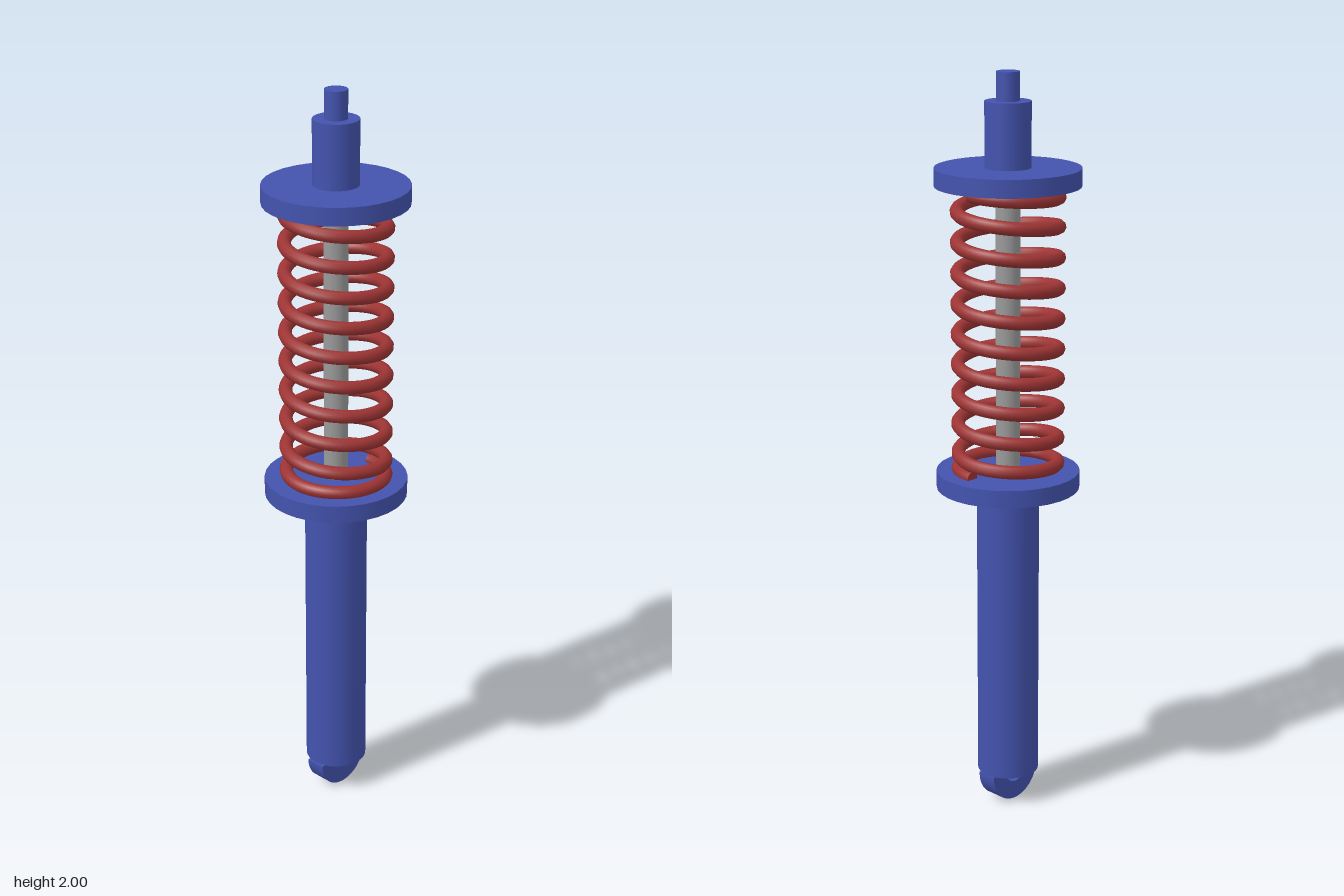
import * as THREE from 'three';

const blue = new THREE.MeshStandardMaterial({ color: 0x4353ae });
blue.name = 'blue paint';
const red = new THREE.MeshStandardMaterial({ color: 0x9e3434 });
red.name = 'red spring steel';
const grey = new THREE.MeshStandardMaterial({ color: 0x9a9a9a });
grey.name = 'grey steel';

// Helix whose end coils are flattened; height follows a few [turn, y] keys
class SpringCurve extends THREE.Curve {
  constructor(radius, turns, keys) {
    super();
    Object.assign(this, { radius, turns, keys });
  }
  getPoint(t, target = new THREE.Vector3()) {
    const n = t * this.turns;
    const a = n * Math.PI * 2;
    const k = this.keys;
    let i = 0;
    while (i < k.length - 2 && n > k[i + 1][0]) i++;
    const y = THREE.MathUtils.mapLinear(n, k[i][0], k[i + 1][0], k[i][1], k[i + 1][1]);
    return target.set(this.radius * Math.cos(a), y, this.radius * Math.sin(a));
  }
}

export function createModel() {
  const group = new THREE.Group();
  const add = (name, geometry, material) => {
    const mesh = new THREE.Mesh(geometry, material);
    mesh.name = name;
    group.add(mesh);
    return mesh;
  };
  const cylinder = (name, r, y0, y1, material = blue) => {
    add(name, new THREE.CylinderGeometry(r, r, y1 - y0, 32), material).position.y = (y0 + y1) / 2;
  };

  // Stacked turned parts
  cylinder('damperBody', 0.083, 0.087, 0.905);
  cylinder('lowerSpringSeat', 0.19, 0.905, 0.952);
  cylinder('pistonRod', 0.032, 0.952, 1.71, grey);
  cylinder('upperSpringSeat', 0.19, 1.71, 1.757);
  cylinder('upperStem', 0.06, 1.757, 1.926);
  cylinder('topPin', 0.03, 1.926, 2);

  // Half-ring mounting eye under the body
  const eye = new THREE.Shape();
  eye.moveTo(-0.083, 0.004);
  eye.absarc(0, 0, 0.083, Math.PI, Math.PI * 2, false);
  eye.lineTo(0.083, 0.004);
  eye.lineTo(0.033, 0.004);
  eye.absarc(0, 0, 0.033, Math.PI * 2, Math.PI, true);
  eye.lineTo(-0.033, 0.004);
  eye.closePath();
  const eyeGeometry = new THREE.ExtrudeGeometry(eye, { depth: 0.056, bevelEnabled: false, curveSegments: 20 });
  eyeGeometry.translate(0, 0.083, -0.028);
  add('mountingEye', eyeGeometry, blue);

  // Coil spring with capped wire ends
  const wire = 0.018;
  const path = new SpringCurve(0.132, 10, [[0, 0.955], [0.5, 0.966], [1, 0.99], [9.5, 1.675], [10, 1.7]]);
  add('coilSpring', new THREE.TubeGeometry(path, 480, wire, 10, false), red);
  for (const t of [0, 1]) {
    const cap = add('springEnd', new THREE.CircleGeometry(wire, 10), red);
    const p = path.getPoint(t);
    cap.position.copy(p);
    cap.lookAt(p.clone().addScaledVector(path.getTangent(t), t ? 1 : -1));
  }
  return group;
}
